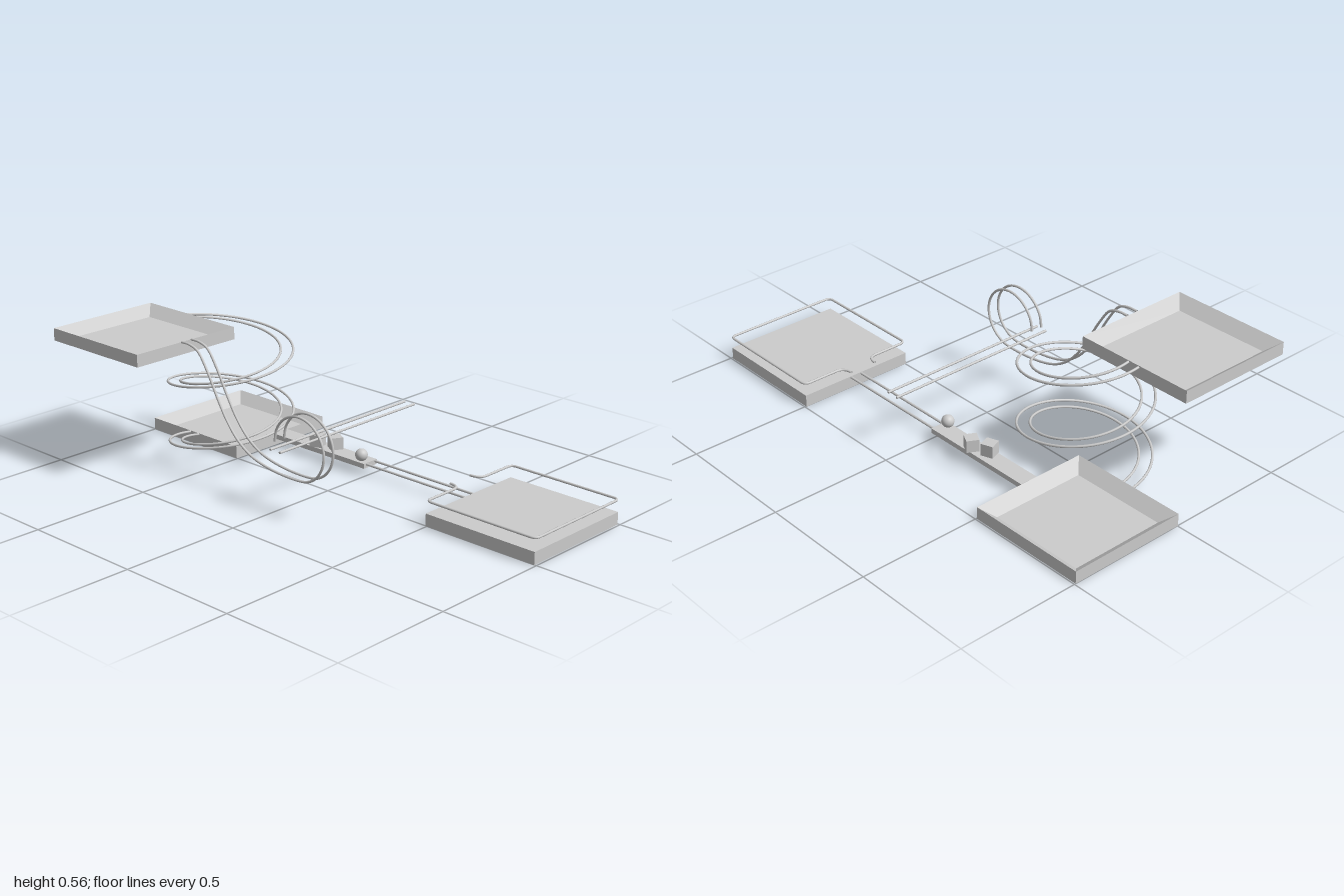
import * as THREE from 'three';

const grey = new THREE.MeshStandardMaterial({ color: 0xcccccc, side: THREE.DoubleSide });
const flatGrey = new THREE.MeshStandardMaterial({ color: 0xcccccc, flatShading: true });
const R = 0.005; // rail radius
const V = (x, y, z) => new THREE.Vector3(x, y, z);

export function createModel() {
  const model = new THREE.Group();

  const add = (name, geometry, x = 0, y = 0, z = 0, material = flatGrey) => {
    const mesh = new THREE.Mesh(geometry, material);
    mesh.name = name;
    mesh.position.set(x, y, z);
    model.add(mesh);
    return mesh;
  };
  const rail = (name, curve, segments) =>
    add(name, new THREE.TubeGeometry(curve, segments, R, 8), 0, 0, 0, grey);
  const straightRail = (name, length, x, y, z, axis) => {
    const g = new THREE.CylinderGeometry(R, R, length, 8);
    if (axis === 'x') g.rotateZ(Math.PI / 2);
    else g.rotateX(Math.PI / 2);
    add(name, g, x, y, z, grey);
  };

  // Square trays with sloping inner walls, as four-sided lathes
  const size = 0.497, thick = 0.05;
  const tray = (name, x, y, z) => {
    const profile = [[0, 0], [size / 2, 0], [size / 2, thick], [size / 2 - 0.05, 0.01], [0, 0.01]]
      .map(([r, h]) => new THREE.Vector2(r * Math.SQRT2, h));
    const g = new THREE.LatheGeometry(profile, 4).rotateY(Math.PI / 4);
    add(name, g, x, y, z);
  };
  tray('lowerTray', -0.752, 0, -0.246);
  tray('upperTray', -0.752, 0.5, 0.252);

  // Flat end platform
  add('endPlatform', new THREE.BoxGeometry(size, thick, size), 0.744, thick / 2, -0.246);

  // Beam carrying two blocks and a ball
  add('beam', new THREE.BoxGeometry(0.498, 0.02, 0.075), -0.254, 0.04, -0.246);
  for (const [x, z, turn] of [[-0.28, -0.235, 0.35], [-0.209, -0.262, -0.5]])
    add('block', new THREE.BoxGeometry(0.05, 0.05, 0.05), x, 0.075, z).rotation.y = turn;
  add('ball', new THREE.SphereGeometry(0.025, 32, 20), -0.037, 0.075, -0.229, grey);

  // Two-turn spiral between the trays
  class Helix extends THREE.Curve {
    constructor(radius) { super(); this.radius = radius; }
    getPoint(t, target = new THREE.Vector3()) {
      const a = t * Math.PI * 4;
      return target.set(
        -0.53 - this.radius * Math.cos(a), 0.545 - 0.5 * t, 0.002 - this.radius * Math.sin(a));
    }
  }
  for (const radius of [0.199, 0.248]) rail('spiralRail', new Helix(radius), 240);

  // Drop from the upper tray into a vertical loop
  const path = [
    [-0.503, 0.55], [-0.46, 0.549], [-0.415, 0.533], [-0.364, 0.465], [-0.31, 0.37],
    [-0.257, 0.288], [-0.2, 0.227], [-0.13, 0.184], [-0.02, 0.158],
  ];
  for (let i = 0; i <= 12; i++) {
    const a = -Math.PI / 2 + (i / 12) * Math.PI * 1.5;
    path.push([0.12 + 0.125 * Math.cos(a), 0.276 + 0.123 * Math.sin(a)]);
  }
  for (const z of [0.228, 0.277])
    rail('loopRail', new THREE.CatmullRomCurve3(path.map(([x, y]) => V(x, y, z))), 200);

  // Straight rails
  for (const x of [-0.004, 0.045]) straightRail('crossRail', 0.746, x, 0.25, -0.071, 'z');
  for (const z of [-0.273, -0.224]) straightRail('lowRail', 0.5, 0.246, 0.045, z, 'x');

  // Guard rail around the end platform, flared at the entrance
  const guard = new THREE.CurvePath();
  const x0 = 0.497, x1 = 0.993, y = 0.1, zc = -0.247, h = 0.248, r = 0.025;
  const line = (a, b) => guard.add(new THREE.LineCurve3(a, b));
  const bend = (a, c, b) => guard.add(new THREE.QuadraticBezierCurve3(a, c, b));
  const P = (x, dz) => V(x, y, zc + dz);
  bend(P(0.45, -0.058), P(x0, -0.058), P(x0, -0.1));
  line(P(x0, -0.1), P(x0, -h + r));
  bend(P(x0, -h + r), P(x0, -h), P(x0 + r, -h));
  line(P(x0 + r, -h), P(x1 - r, -h));
  bend(P(x1 - r, -h), P(x1, -h), P(x1, -h + r));
  line(P(x1, -h + r), P(x1, h - r));
  bend(P(x1, h - r), P(x1, h), P(x1 - r, h));
  line(P(x1 - r, h), P(x0 + r, h));
  bend(P(x0 + r, h), P(x0, h), P(x0, h - r));
  line(P(x0, h - r), P(x0, 0.1));
  bend(P(x0, 0.1), P(x0, 0.058), P(0.45, 0.058));
  rail('guardRail', guard, 300);

  return model;
}
